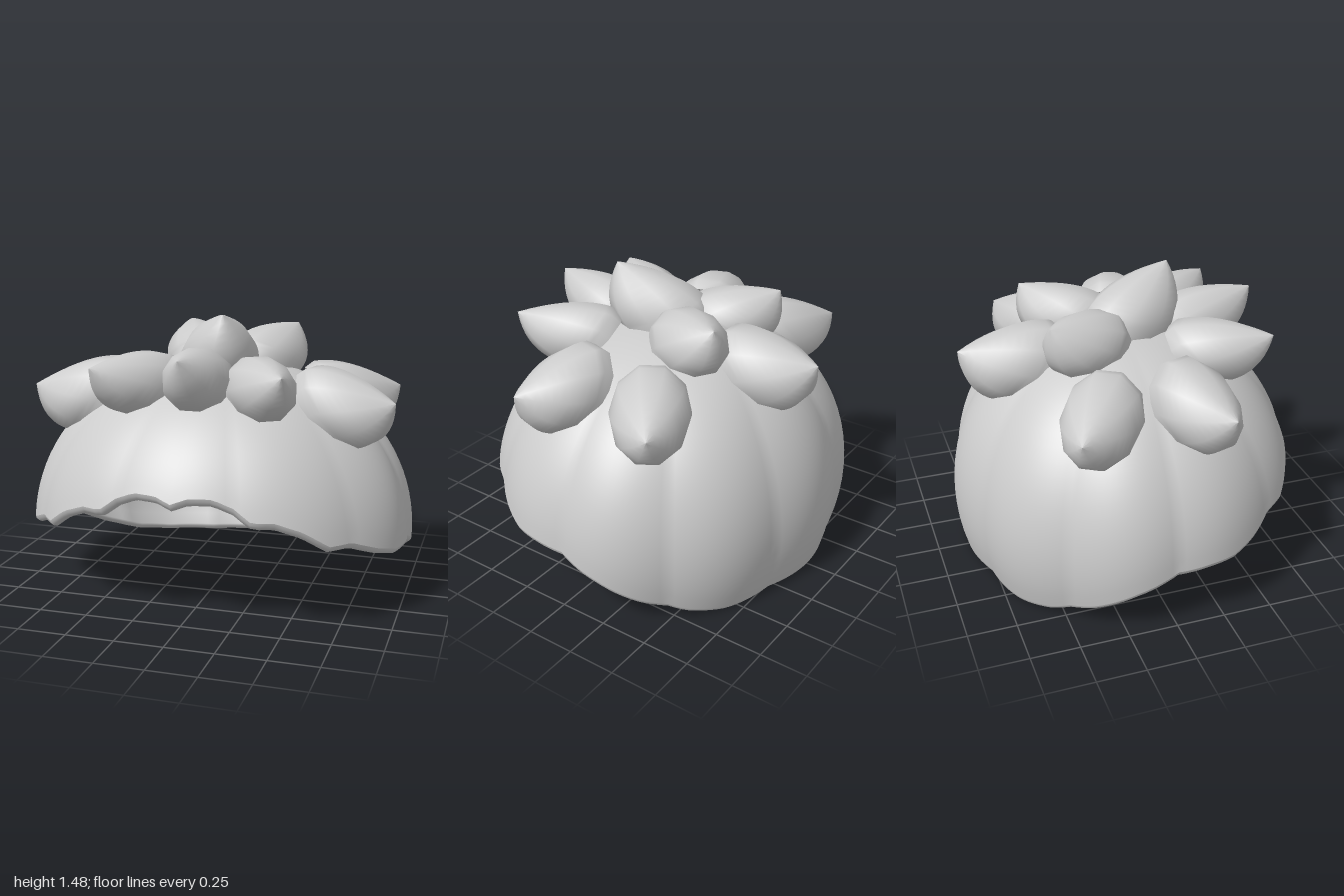
import * as THREE from 'three';

const grey = new THREE.MeshStandardMaterial({ color: 0xcccccc });
grey.name = 'shell grey';

// closed band of cross-section loops, listed from the top downwards
function loft(rows, cols, point) {
  const pos = [], index = [];
  for (let j = 0; j < rows; j++)
    for (let i = 0; i < cols; i++) pos.push(...point(i / cols * Math.PI * 2, j).toArray());
  for (let j = 0; j < rows - 1; j++)
    for (let i = 0; i < cols; i++) {
      const k = (i + 1) % cols;
      const a = j * cols + i, b = a + cols, c = j * cols + k, d = c + cols;
      index.push(a, b, c, b, d, c);
    }
  const g = new THREE.BufferGeometry();
  g.setAttribute('position', new THREE.Float32BufferAttribute(pos, 3));
  g.setIndex(index);
  g.computeVertexNormals();
  return g;
}

function mesh(geometry, name) {
  const m = new THREE.Mesh(geometry, grey);
  m.name = name;
  return m;
}

// rim height by angle from the front (degrees)
const RIM = [[0, .63], [5, .66], [12, .66], [18, .62], [23, .555], [29, .555], [37, .505], [45, .42],
  [53, .415], [63, .355], [72, .315], [80, .31], [90, .29], [104, .21], [118, .1], [132, .02], [145, -.012], [181, -.012]];
function rimHeight(phi) {
  let d = THREE.MathUtils.radToDeg(phi);
  if (d > 180) d = 360 - d;
  const i = Math.max(1, RIM.findIndex(p => p[0] >= d));
  const [a, b] = [RIM[i - 1], RIM[i]];
  return THREE.MathUtils.lerp(a[1], b[1], (d - a[0]) / (b[0] - a[0]));
}

// ribbed dome with full shoulders: phi around, lat up, inset for the inner wall
const MID = .3, HEIGHT = .9;
function domePoint(phi, lat, inset, drop = 0) {
  const c = Math.pow(Math.max(0, Math.cos(lat)), .9);
  const ribDepth = THREE.MathUtils.lerp(.034, .018, THREE.MathUtils.smoothstep(Math.cos(phi), -.1, .6));
  const rib = 1 - ribDepth * (1 - Math.abs(Math.cos(5 * phi))) * Math.min(1, 1.3 * c);
  const depth = Math.cos(phi) > 0 ? .955 : .88;
  const r = c * rib;
  return new THREE.Vector3(Math.sin(phi) * r * (1.03 - inset), MID + (HEIGHT - inset) * Math.sin(lat) - drop,
    Math.cos(phi) * r * (depth - inset));
}
const latitude = y => Math.asin((y - MID) / HEIGHT);

function shell() {
  const N = 24, LIP = 6, R = .028;
  return loft(N * 2 + LIP + 1, 160, (phi, j) => {
    const edge = latitude(rimHeight(phi) + R);
    const top = Math.PI / 2;
    if (j < N) return domePoint(phi, THREE.MathUtils.lerp(top, edge, j / (N - 1)), 0);
    if (j <= N + LIP) {                       // rounded lip
      const k = (j - N) / LIP * Math.PI;
      return domePoint(phi, edge, R * (1 - Math.cos(k)), R * Math.sin(k));
    }
    const t = (j - N - LIP) / N;              // inner wall, thinning above the lip
    return domePoint(phi, THREE.MathUtils.lerp(edge, top, t), THREE.MathUtils.lerp(2 * R, .014, Math.min(1, t * 8)));
  });
}

// bulging horn leaning from a tilted oval base, sunk into the dome, to its tip
function spike(base, tip, radius) {
  const C = new THREE.Vector3(...base), T = new THREE.Vector3(...tip);
  const axis = T.clone().sub(C);
  const out = new THREE.Vector3(C.x, (C.y - MID) / .81, C.z / .85).normalize();
  const n = axis.clone().normalize().multiplyScalar(.7).add(out).normalize();
  const u = new THREE.Vector3(0, 1, .01).cross(n).normalize();
  const v = n.clone().cross(u);
  const N = 10;
  return loft(N + 4, 10, (phi, j) => {
    const s = Math.max(0, 1 - j / N);
    const r = j === N + 3 ? 0 : radius * (1 - Math.pow(s, 2.1));
    const p = C.clone().addScaledVector(axis, s);
    if (j > N) p.addScaledVector(n, -.06);   // root and its closed underside
    return p.addScaledVector(u, Math.cos(phi) * r).addScaledVector(v, Math.sin(phi) * r * 1.17);
  });
}

export function createModel() {
  const model = new THREE.Group();
  model.name = 'spikedShell';
  model.add(mesh(shell(), 'ribbedDome'));

  // spikes on the centre line
  model.add(mesh(spike([0, 1.155, .42], [0, 1.31, .76], .168), 'frontSpike'));
  model.add(mesh(spike([0, 1.21, .08], [.09, 1.475, .32], .205), 'topSpike'));
  model.add(mesh(spike([0, 1.06, -.47], [0, 1.16, -.82], .21), 'backSpike'));

  // mirrored pairs
  const pairs = [
    ['FrontSpike', [.29, 1.12, .37], [.475, 1.24, .68], .172],
    ['SideFrontSpike', [.63, 1.02, .19], [.95, 1.07, .285], .205],
    ['SideBackSpike', [.575, .99, -.24], [.88, 1.03, -.44], .2],
    ['UpperBackSpike', [.18, 1.185, -.18], [.31, 1.355, -.42], .185],
  ];
  for (const [name, b, t, r] of pairs)
    for (const side of [1, -1])
      model.add(mesh(spike([b[0] * side, b[1], b[2]], [t[0] * side, t[1], t[2]], r),
        (side > 0 ? 'left' : 'right') + name));
  return model;
}
